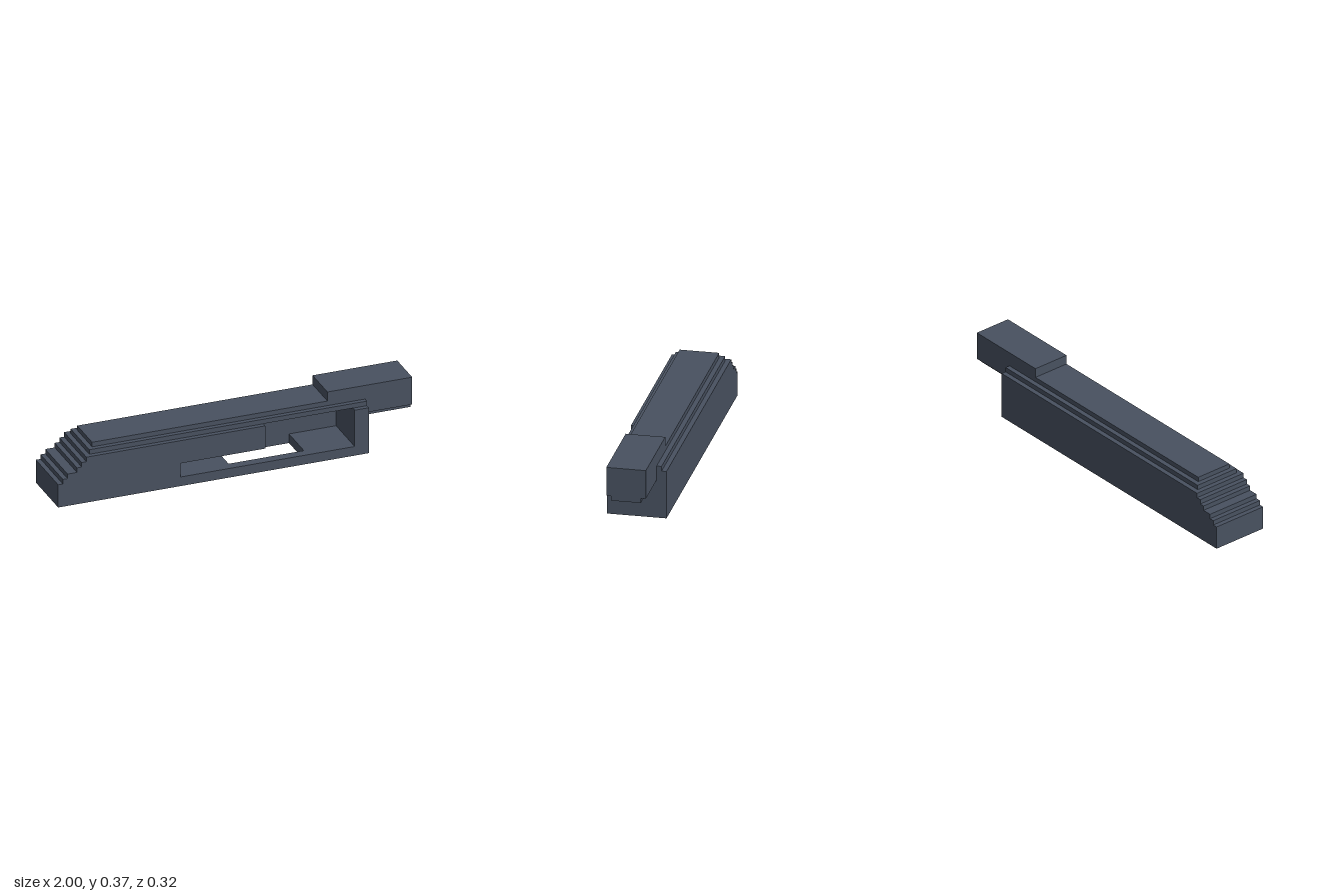
import * as THREE from 'three';

const U = 1 / 38; // one grid cell; the model is 76 cells long

export function createModel() {
  const group = new THREE.Group();
  group.name = 'steppedSlide';
  const material = new THREE.MeshStandardMaterial({ color: 0x485160, flatShading: true });

  // Extrude a side profile (in cells) from z0 to z1
  function slab(name, points, z0, z1) {
    const shape = new THREE.Shape(points.map(([x, y]) => new THREE.Vector2((x - 38) * U, y * U)));
    const geometry = new THREE.ExtrudeGeometry(shape, { depth: (z1 - z0) * U, bevelEnabled: false });
    geometry.translate(0, 0, z0 * U);
    const mesh = new THREE.Mesh(geometry, material);
    mesh.name = name;
    group.add(mesh);
  }
  const rect = (x0, y0, x1, y1) => [[x0, y0], [x1, y0], [x1, y1], [x0, y1]];

  // Staircase at the rear end, up to the given height
  function stairs(top) {
    const starts = [0, 1, 2, 4, 5, 6, 7, 8];
    const points = [[0, 0]];
    for (let i = 0; i + 5 <= top; i++) {
      if (i > 0) points.push([starts[i], i + 4]);
      points.push([starts[i], i + 5]);
    }
    return points;
  }

  // Core with inner cavity, open through the floor
  slab('core', [
    ...stairs(12), [66, 12], [66, 0],
    [53, 0], [53, 2], [63, 2], [63, 10], [10, 10], [10, 2], [37, 2], [37, 0],
  ], -4, 4);

  // Side walls: the front one has the L-shaped window
  slab('backWall', [...stairs(10), [66, 10], [66, 0]], -6, -4);
  slab('windowWall', [
    ...stairs(10), [44, 10], [44, 5], [26, 5], [26, 2], [63, 2], [63, 10], [66, 10], [66, 0],
  ], 4, 6);

  // Narrow ledges along both upper edges
  for (const z of [-5, 4]) slab('upperLedge', rect(7, 10, 66, 11), z, z + 1);

  // Raised block overhanging the end, with a lip beneath
  slab('endBlock', [[58, 12], [66, 12], [66, 8], [76, 8], [76, 14], [58, 14]], -4, 4);
  slab('endBlockLip', rect(66, 7, 76, 8), -3, 3);

  return group;
}
